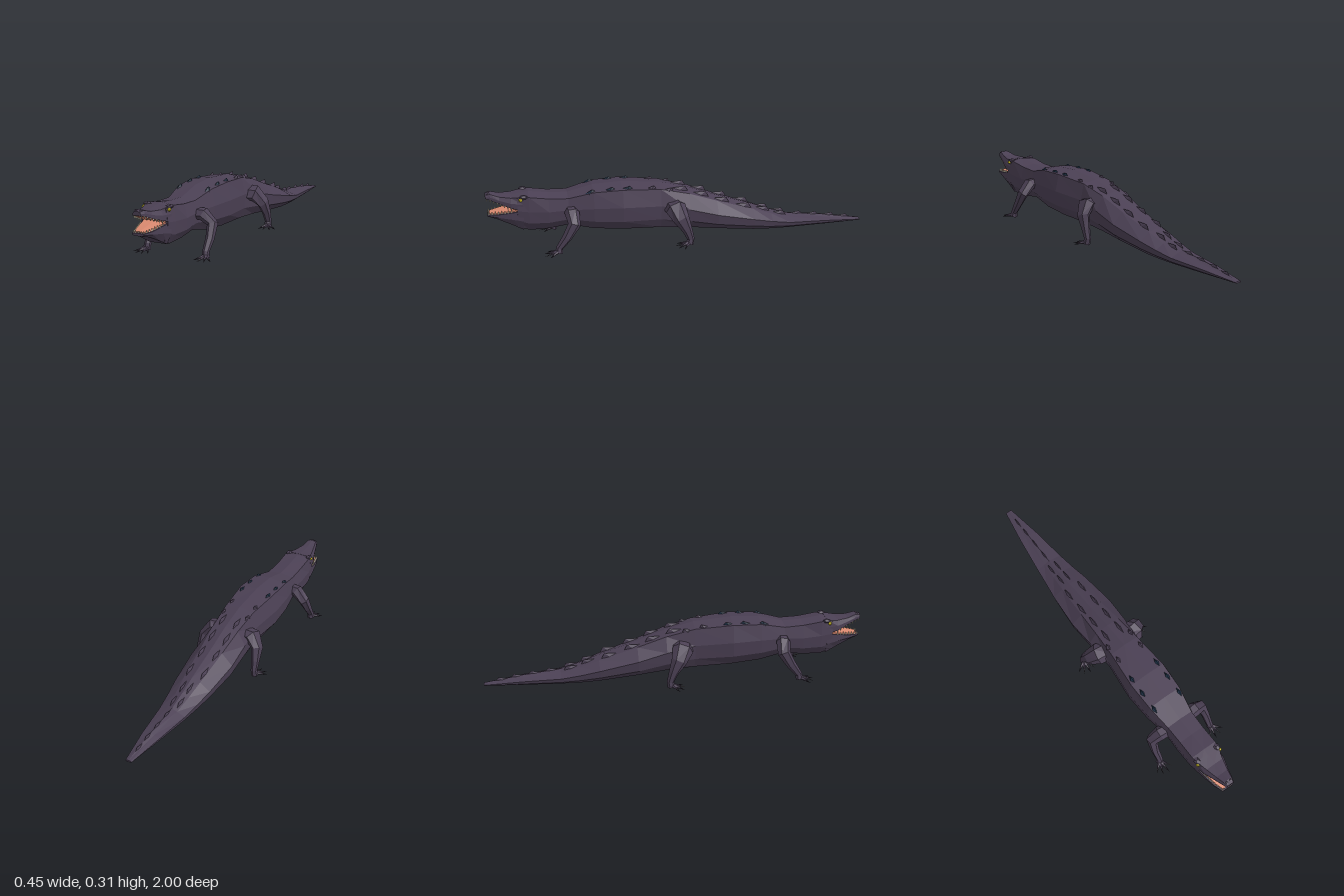
import * as THREE from 'three';

const mat = (color) => new THREE.MeshStandardMaterial({ color, flatShading: true });
const SKIN = mat(0x4b4054), BLUE = mat(0x1b2e42), FLESH = mat(0xdb8a70);
const TOOTH = mat(0xe4dcc0), EYE = mat(0xd8c81e), CLAW = mat(0x2c2632);

// Body sections, tail to head: z, bottom, top, belly half width, half width, back half width, drop of back edge
const BODY = [
  [-1, 0.008, 0.018, 0.012, 0.018, 0.012, 0.002],
  [-0.8, 0.01, 0.052, 0.035, 0.05, 0.018, 0.008],
  [-0.6, 0.01, 0.075, 0.05, 0.075, 0.03, 0.01],
  [-0.5, 0.012, 0.105, 0.058, 0.088, 0.038, 0.012],
  [-0.4, 0.018, 0.142, 0.065, 0.103, 0.048, 0.012],
  [-0.2, 0.038, 0.208, 0.07, 0.121, 0.062, 0.012],
  [-0.05, 0.055, 0.262, 0.07, 0.114, 0.072, 0.012],
  [0.1, 0.065, 0.3, 0.07, 0.102, 0.082, 0.012],
  [0.3, 0.07, 0.317, 0.07, 0.122, 0.1, 0.013],
  [0.45, 0.083, 0.31, 0.065, 0.111, 0.094, 0.012],
  [0.58, 0.112, 0.277, 0.055, 0.087, 0.074, 0.01],
  [0.68, 0.095, 0.281, 0.05, 0.086, 0.071, 0.01],
  [0.78, 0.09, 0.294, 0.045, 0.08, 0.072, 0.008],
  [0.84, 0.115, 0.286, 0.05, 0.071, 0.062, 0.006],
];

function named(name, geometry, material) {
  const m = new THREE.Mesh(geometry, material);
  m.name = name;
  return m;
}

// Skin a list of equal-sized rings and cap both ends
function loft(rings) {
  const n = rings[0].length, pos = [], idx = [];
  const centres = [rings[0], rings[rings.length - 1]].map((r) =>
    r.reduce((c, p) => c.add(p), new THREE.Vector3()).divideScalar(n));
  rings.flat().concat(centres).forEach((p) => pos.push(p.x, p.y, p.z));
  const c0 = rings.length * n, last = c0 - n;
  for (let j = 0; j < n; j++) {
    const k = (j + 1) % n;
    for (let i = 0; i < rings.length - 1; i++) {
      const a = i * n + j, b = i * n + k;
      idx.push(a, b, b + n, a, b + n, a + n);
    }
    idx.push(c0, k, j, c0 + 1, last + j, last + k);
  }
  const g = new THREE.BufferGeometry();
  g.setAttribute('position', new THREE.Float32BufferAttribute(pos, 3));
  g.setIndex(idx);
  g.computeVertexNormals();
  return g;
}

// Symmetric ring from its right half, listed from bottom centre to top centre
function ring(half, z) {
  const mirror = half.slice(1, -1).reverse().map(([x, y]) => [-x, y]);
  return half.concat(mirror).map(([x, y]) => new THREE.Vector3(x, y, z));
}

// Jaw-like block: rows of z, bottom, top, bottom half width, top half width
const jaw = (rows) => loft(rows.map(([z, b, t, wb, wt]) =>
  ring([[0, b], [wb, b], [Math.max(wb, wt), (b + t) / 2], [wt, t], [0, t + 0.003]], z)));

// Hexagonal tube through points x, y, z, side radius, fore-aft radius
function limb(pts) {
  const v = pts.map((p) => new THREE.Vector3(p[0], p[1], p[2]));
  const up = new THREE.Vector3(0, 1, 0);
  return loft(v.map((p, i) => {
    const dir = v[Math.min(i + 1, v.length - 1)].clone().sub(v[Math.max(i - 1, 0)]).normalize();
    // Turn from straight down so that rings do not twist
    const q = new THREE.Quaternion().setFromUnitVectors(up.clone().negate(), dir);
    return Array.from({ length: 6 }, (_, j) => {
      const a = -j * Math.PI / 3;
      return new THREE.Vector3(Math.sin(a) * pts[i][3], 0, Math.cos(a) * pts[i][4]).applyQuaternion(q).add(p);
    });
  }));
}

// Height of the back at z, x
function backY(z, x) {
  let i = 0;
  while (i < BODY.length - 2 && BODY[i + 1][0] < z) i++;
  const a = BODY[i], b = BODY[i + 1], t = (z - a[0]) / (b[0] - a[0]);
  const f = (k) => THREE.MathUtils.lerp(a[k], b[k], t);
  return f(2) - f(6) * Math.abs(x) / f(5);
}

// Keeled scale, its peak shifted to the rear, lying along the back
function scute(x, z, length, width, height, material) {
  const g = new THREE.ConeGeometry(1, 1, 4).translate(0, 0.5, 0);
  const p = g.attributes.position;
  for (let i = 0; i < p.count; i++) if (p.getY(i) > 0.5) p.setZ(i, p.getZ(i) - 0.45);
  g.scale(width / 2, height + 0.006, length / 2);
  const m = named('backScale', g, material);
  m.position.set(x, backY(z, x) - 0.006, z);
  m.rotation.x = -Math.atan2(backY(z + 0.03, x) - backY(z - 0.03, x), 0.06);
  return m;
}

// Cone from a base point toward a tip point
function spike(name, base, tip, radius, sides, material) {
  const a = new THREE.Vector3(...base), d = new THREE.Vector3(...tip).sub(a);
  const m = named(name, new THREE.ConeGeometry(radius, d.length(), sides).translate(0, d.length() / 2, 0), material);
  m.position.copy(a);
  m.quaternion.setFromUnitVectors(new THREE.Vector3(0, 1, 0), d.normalize());
  return m;
}

// Leg with foot, splayed toes and claws; s is the side, yaw turns the foot outward
function leg(name, pts, s, yaw) {
  const g = new THREE.Group();
  g.name = name;
  g.add(named('limb', limb(pts.map(([x, ...r]) => [x * s, ...r])), SKIN));
  const [ax, , az] = pts[pts.length - 1];
  for (let k = -1.5; k <= 1.5; k++) {
    const a = yaw + k * 0.48, len = 0.07 - Math.abs(k) * 0.006;
    const at = (d, y) => [s * (ax + Math.sin(a) * d), y, az + Math.cos(a) * d];
    g.add(spike('toe', at(0, 0.018), at(len, 0.005), 0.012, 5, SKIN));
    g.add(spike('claw', at(len * 0.7, 0.009), at(len + 0.008, 0.003), 0.005, 4, CLAW));
  }
  return g;
}

export function createModel() {
  const model = new THREE.Group();
  model.name = 'crocodile';

  // Body and tail
  model.add(named('body', loft(BODY.map(([z, b, t, wb, w, wt, d]) => {
    const h = t - b;
    return ring([[0, b], [wb, b + h * 0.03], [w * 0.94, b + h * 0.26], [w, b + h * 0.58], [wt, t - d], [0, t]], z);
  })), SKIN));

  // Jaws, palate and tongue
  model.add(named('upperJaw', jaw([
    [0.81, 0.212, 0.287, 0.072, 0.066], [0.87, 0.228, 0.28, 0.063, 0.05],
    [0.93, 0.25, 0.284, 0.043, 0.034], [0.975, 0.268, 0.298, 0.03, 0.024], [1, 0.274, 0.293, 0.022, 0.016]]), SKIN));
  model.add(named('lowerJaw', jaw([
    [0.81, 0.1, 0.212, 0.048, 0.073], [0.87, 0.13, 0.204, 0.042, 0.064],
    [0.94, 0.162, 0.192, 0.034, 0.05], [0.992, 0.176, 0.188, 0.02, 0.032]]), SKIN));
  model.add(named('palate', jaw([
    [0.84, 0.214, 0.225, 0.058, 0.058], [0.87, 0.224, 0.235, 0.054, 0.05],
    [0.93, 0.247, 0.255, 0.036, 0.034], [0.985, 0.268, 0.275, 0.02, 0.02]]), FLESH));
  model.add(named('tongue', jaw([
    [0.835, 0.2, 0.216, 0.06, 0.06], [0.87, 0.198, 0.21, 0.056, 0.054],
    [0.94, 0.186, 0.198, 0.042, 0.04], [0.982, 0.182, 0.193, 0.026, 0.024]]), FLESH));

  // Teeth along both jaws
  for (let i = 0; i < 8; i++) {
    const t = i / 7;
    for (const s of [-1, 1]) {
      const ux = s * (0.06 - 0.04 * t), uy = 0.227 + 0.047 * t, uz = 0.87 + 0.122 * t;
      model.add(spike('upperTooth', [ux, uy, uz], [ux, uy - 0.016, uz], 0.0045, 4, TOOTH));
      const lx = s * (0.06 - 0.032 * t), ly = 0.202 - 0.014 * t, lz = 0.87 + 0.115 * t;
      model.add(spike('lowerTooth', [lx, ly, lz], [lx, ly + 0.016, lz], 0.0045, 4, TOOTH));
    }
  }
  for (const x of [-0.016, 0, 0.016]) {
    model.add(spike('frontTooth', [x, 0.187, 0.987], [x, 0.202, 0.988], 0.004, 4, TOOTH));
  }

  for (const s of [-1, 1]) {
    // Eyes, brows and nostrils
    const eye = named('eye', new THREE.IcosahedronGeometry(0.009, 1), EYE);
    eye.position.set(s * 0.069, 0.273, 0.823);
    const brow = named('brow', new THREE.DodecahedronGeometry(0.016), SKIN);
    brow.scale.set(1, 0.75, 1.4);
    brow.position.set(s * 0.062, 0.285, 0.806);
    const nostril = named('nostril', new THREE.DodecahedronGeometry(0.009), SKIN);
    nostril.position.set(s * 0.012, 0.294, 0.982);
    model.add(eye, brow, nostril);

    // Scales on shoulders, hips and tail
    for (const z of [0.28, 0.37, 0.47]) model.add(scute(s * 0.078, z, 0.075, 0.03, 0.012, BLUE));
    for (const z of [0.06, 0.15]) model.add(scute(s * 0.07, z, 0.06, 0.03, 0.014, SKIN));
    for (const z of [0, -0.11, -0.22, -0.34]) model.add(scute(s * 0.042, z, 0.11, 0.022, 0.022, SKIN));
    for (const z of [-0.45, -0.54]) model.add(scute(s * 0.02, z, 0.1, 0.016, 0.018, SKIN));

    // Legs, from body to ankle
    const side = s > 0 ? 'left' : 'right';
    model.add(leg(side + 'FrontLeg', [
      [0.06, 0.2, 0.57, 0.03, 0.035], [0.11, 0.2, 0.565, 0.032, 0.038], [0.157, 0.155, 0.56, 0.027, 0.033],
      [0.163, 0.09, 0.6, 0.021, 0.025], [0.162, 0.035, 0.64, 0.017, 0.018], [0.165, 0.008, 0.645, 0.02, 0.02]], s, 0.1));
    model.add(leg(side + 'HindLeg', [
      [0.06, 0.19, 0.04, 0.04, 0.055], [0.12, 0.195, 0.03, 0.038, 0.055], [0.157, 0.145, 0.005, 0.027, 0.042],
      [0.163, 0.085, -0.025, 0.021, 0.026], [0.165, 0.035, -0.042, 0.017, 0.019], [0.167, 0.008, -0.035, 0.02, 0.022]], s, 0.3));
  }

  // Single crest toward the tail tip
  for (const z of [-0.64, -0.73, -0.82, -0.9]) model.add(scute(0, z, 0.09, 0.012, 0.014, SKIN));
  return model;
}
